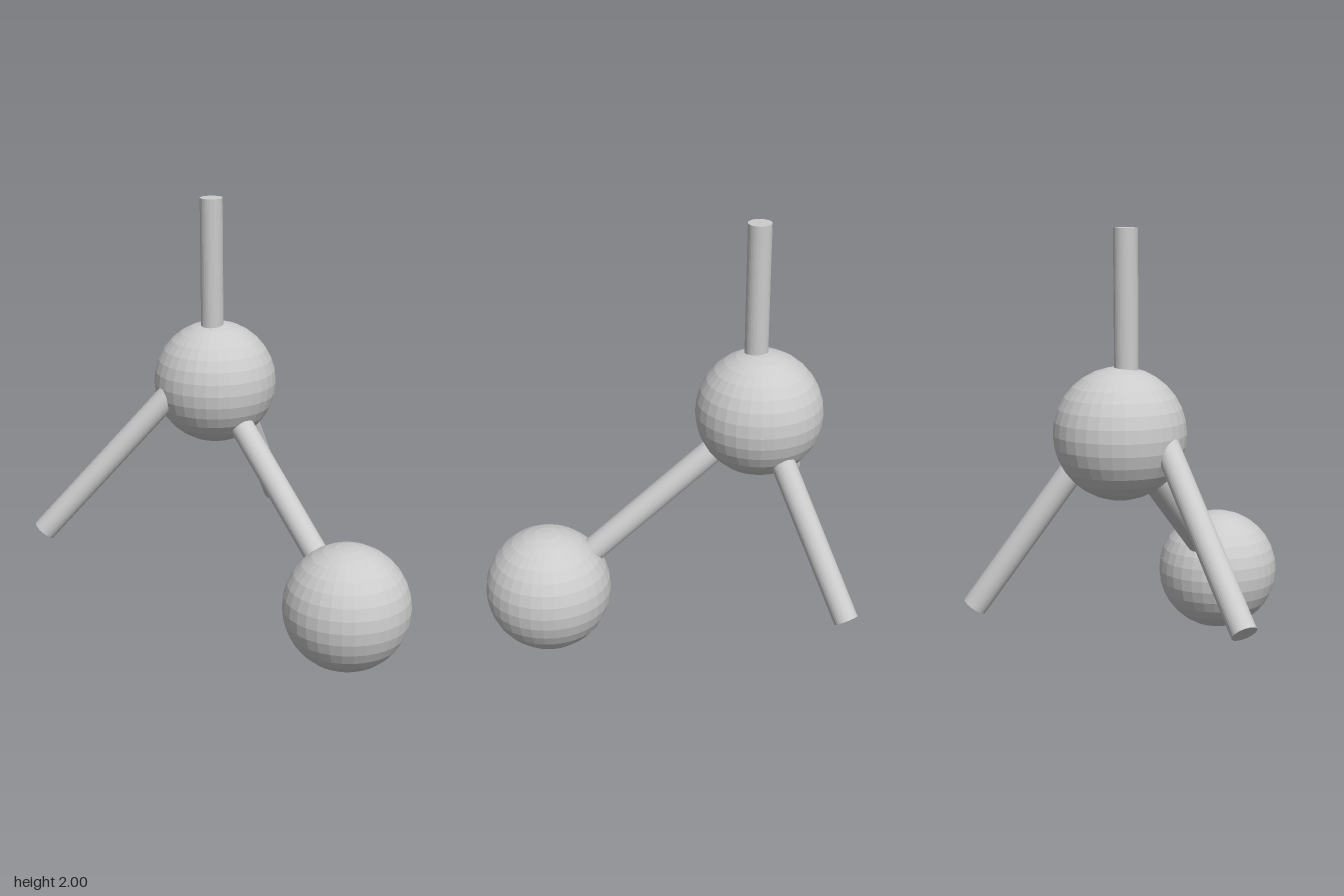
import * as THREE from 'three';

const material = new THREE.MeshStandardMaterial({ color: 0xcccccc, flatShading: true });

// Faceted ball with its poles on the y axis
function ball(name, center) {
  const mesh = new THREE.Mesh(new THREE.SphereGeometry(0.29, 32, 16), material);
  mesh.position.copy(center);
  mesh.name = name;
  return mesh;
}

// Capped round rod between two points
function rod(name, from, to, radius = 0.055) {
  const axis = to.clone().sub(from);
  const mesh = new THREE.Mesh(new THREE.CylinderGeometry(radius, radius, axis.length(), 32), material);
  mesh.position.copy(from).addScaledVector(axis, 0.5);
  mesh.quaternion.setFromUnitVectors(new THREE.Vector3(0, 1, 0), axis.normalize());
  mesh.name = name;
  return mesh;
}

export function createModel() {
  const group = new THREE.Group();
  group.name = 'ballAndStick';
  const v = (x, y, z) => new THREE.Vector3(x, y, z);
  const hub = v(-0.43, 1.12, -0.08);
  const outer = v(0.55, 0.295, -0.08);

  // Two balls and the rod joining them
  group.add(ball('hubBall', hub), ball('outerBall', outer));
  group.add(rod('connectingRod', hub, outer, 0.057));

  // Free rods starting inside the hub ball
  group.add(rod('topRod', v(-0.415, 1.2, -0.055), v(-0.415, 2, -0.055), 0.053));
  group.add(rod('frontRod', v(-0.424, 1.164, 0.104), v(-0.79, 0.425, 0.68)));
  group.add(rod('backRod', v(-0.458, 1.06, -0.215), v(-0.71, 0.345, -0.665)));
  return group;
}
